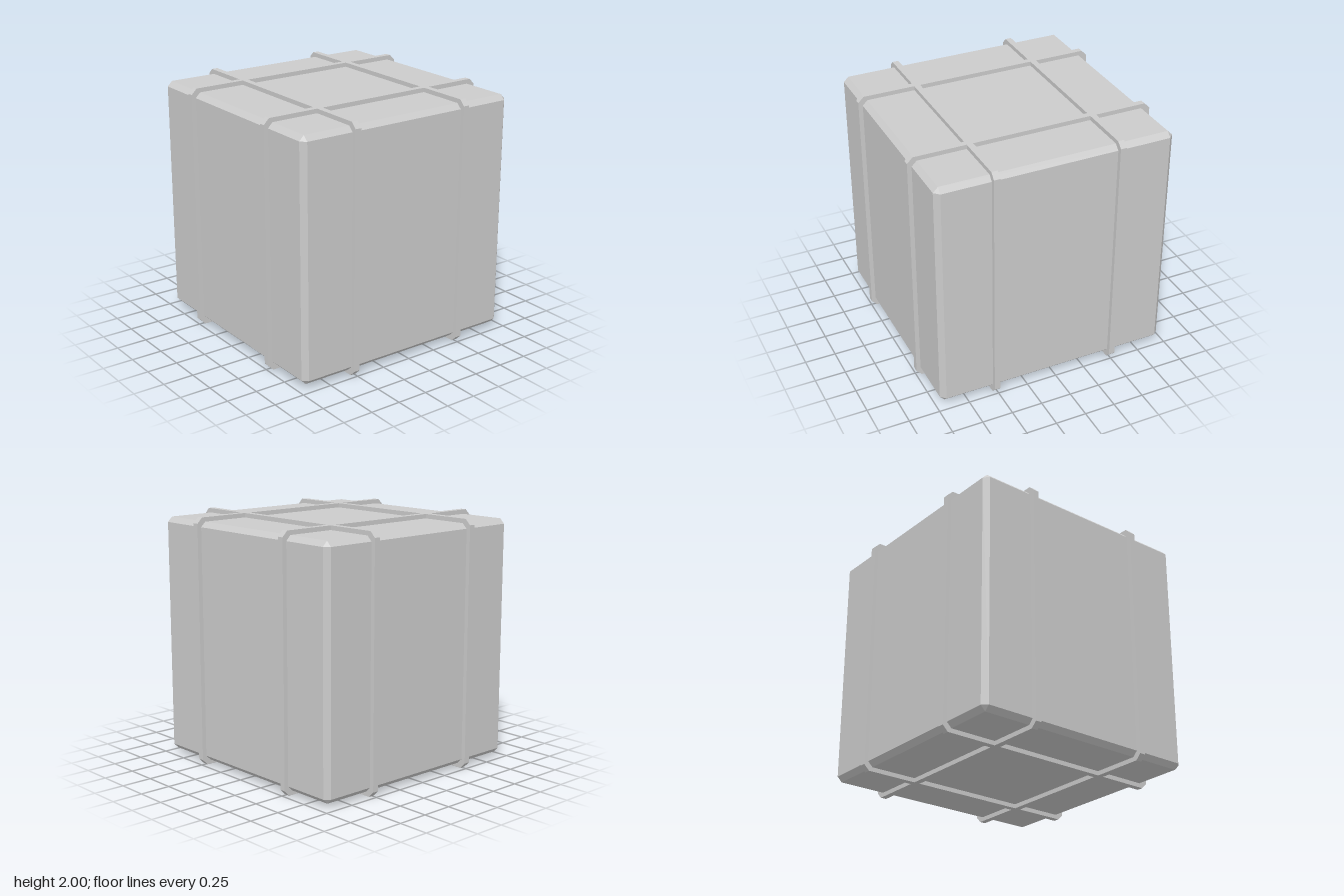
import * as THREE from 'three';
import { ConvexGeometry } from 'three/addons/geometries/ConvexGeometry.js';

const material = new THREE.MeshStandardMaterial({ color: 0xcccccc, flatShading: true });

// Square outline with cut corners: half = half side, flat = half length of the straight edge
function octagon(half, flat) {
  return [
    [half, -flat], [half, flat], [flat, half], [-flat, half],
    [-half, flat], [-half, -flat], [-flat, -half], [flat, -half],
  ].map(([x, y]) => new THREE.Vector2(x, y));
}

// Cube with bevelled edges and corners
function bevelledCube(half, flat) {
  const points = [];
  for (const x of [-1, 1]) for (const y of [-1, 1]) for (const z of [-1, 1]) {
    points.push(
      new THREE.Vector3(x * half, y * flat, z * flat),
      new THREE.Vector3(x * flat, y * half, z * flat),
      new THREE.Vector3(x * flat, y * flat, z * half),
    );
  }
  return new ConvexGeometry(points);
}

// Closed band that wraps around the cube
function bandGeometry(width) {
  const shape = new THREE.Shape(octagon(1, 0.955));
  shape.holes.push(new THREE.Path(octagon(0.94, 0.91)));
  const geometry = new THREE.ExtrudeGeometry(shape, { depth: width, bevelEnabled: false });
  return geometry.translate(0, 0, -width / 2);
}

export function createModel() {
  const model = new THREE.Group();
  model.name = 'strappedCrate';

  const body = new THREE.Mesh(bevelledCube(0.965, 0.925), material);
  body.name = 'crateBody';
  body.position.y = 1;
  model.add(body);

  // Two bands in each direction
  const band = bandGeometry(0.05);
  for (const offset of [-0.508, 0.508]) {
    const across = new THREE.Mesh(band, material);
    across.name = offset < 0 ? 'backBand' : 'frontBand';
    across.position.set(0, 1, offset);

    const along = new THREE.Mesh(band, material);
    along.name = offset < 0 ? 'rightBand' : 'leftBand';
    along.rotation.y = Math.PI / 2;
    along.position.set(offset, 1, 0);

    model.add(across, along);
  }
  return model;
}
